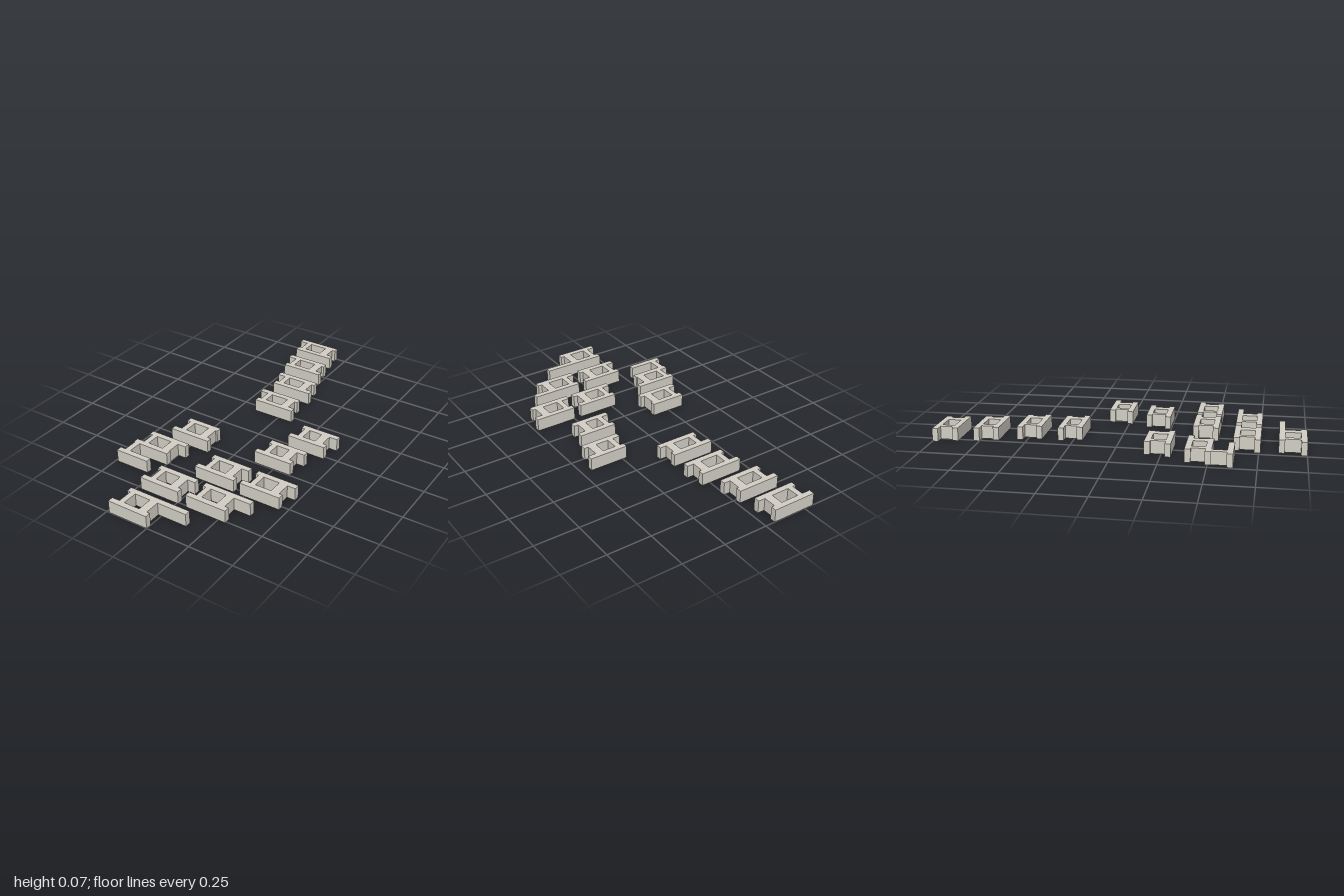
import * as THREE from 'three';

const HEIGHT = 0.072;
const BAR = 0.032; // depth of a bar
const LEFT_WEB = 0.031;
const RIGHT_WEB = 0.047;

// Offsets in x from the start of the back bar, then blocks as [x, z, back length, front length, depth]
const GROUPS = [
  {
    name: 'rearRow', front: 0.028, left: 0.048, right: 0.182,
    blocks: [
      [-0.304, -1, 0.248, 0.24, 0.135],
      [-0.258, -0.783, 0.243, 0.238, 0.133],
      [-0.197, -0.556, 0.246, 0.24, 0.132],
      [-0.18, -0.333, 0.245, 0.239, 0.131],
    ],
  },
  {
    name: 'shortPair', front: -0.023, left: 0.02, right: 0.126,
    blocks: [
      [0.225, -0.117, 0.22, 0.221, 0.138],
      [0.154, 0.106, 0.218, 0.221, 0.141],
    ],
  },
  {
    name: 'frontCluster', front: -0.025, left: 0.02, right: 0.143,
    blocks: [
      [-0.346, 0.162, 0.2, 0.239, 0.143],
      [-0.438, 0.381, 0.238, 0.22, 0.138],
      [-0.026, 0.387, 0.233, 0.238, 0.142],
      [0.249, 0.387, 0.236, 0.234, 0.142],
      [-0.201, 0.616, 0.235, 0.235, 0.143],
      [0.082, 0.616, 0.285, 0.237, 0.143],
      [-0.209, 0.852, 0.359, 0.234, 0.148],
    ],
  },
];

const toPoints = (list) => list.map(([x, z]) => new THREE.Vector2(x, -z));

// Raise a ground plan (x, z) to the block height
function raise(shape) {
  const geometry = new THREE.ExtrudeGeometry(shape, { depth: HEIGHT, bevelEnabled: false });
  return geometry.rotateX(-Math.PI / 2);
}

// Two bars joined by two webs, with a rectangular opening between the webs
function blockGeometry({ front, left, right }, [x, z, backLength, frontLength, depth]) {
  const backEnd = x + backLength;
  const frontStart = x + front;
  const frontEnd = frontStart + frontLength;
  const leftStart = x + left;
  const leftEnd = leftStart + LEFT_WEB;
  const rightStart = x + right;
  const rightEnd = rightStart + RIGHT_WEB;
  const inner = z + BAR;
  const end = z + depth;
  const outer = end - BAR;
  // Outline counter-clockwise, opening clockwise, so every wall faces outwards
  const shape = new THREE.Shape(toPoints([
    [x, inner], [leftStart, inner], [leftStart, outer], [frontStart, outer],
    [frontStart, end], [frontEnd, end], [frontEnd, outer], [rightEnd, outer],
    [rightEnd, inner], [backEnd, inner], [backEnd, z], [x, z],
  ]));
  shape.holes.push(new THREE.Path(toPoints([
    [leftEnd, inner], [rightStart, inner], [rightStart, outer], [leftEnd, outer],
  ])));
  return raise(shape);
}

export function createModel() {
  const model = new THREE.Group();
  model.name = 'blockLayout';
  const concrete = new THREE.MeshStandardMaterial({ color: 0xd2cec5 });
  concrete.name = 'concrete';

  const add = (parent, geometry, name) => {
    const mesh = new THREE.Mesh(geometry, concrete);
    mesh.name = name;
    parent.add(mesh);
  };

  for (const layout of GROUPS) {
    const group = new THREE.Group();
    group.name = layout.name;
    layout.blocks.forEach((block, i) => add(group, blockGeometry(layout, block), `block${i + 1}`));
    model.add(group);
  }

  // Open half block: one web and one bar in front of the left-hand block
  add(model, raise(new THREE.Shape(toPoints([
    [-0.456, 0.519], [-0.423, 0.519], [-0.423, 0.598], [-0.288, 0.598],
    [-0.288, 0.63], [-0.487, 0.63], [-0.487, 0.598], [-0.456, 0.598],
  ]))), 'halfBlock');

  return model;
}
